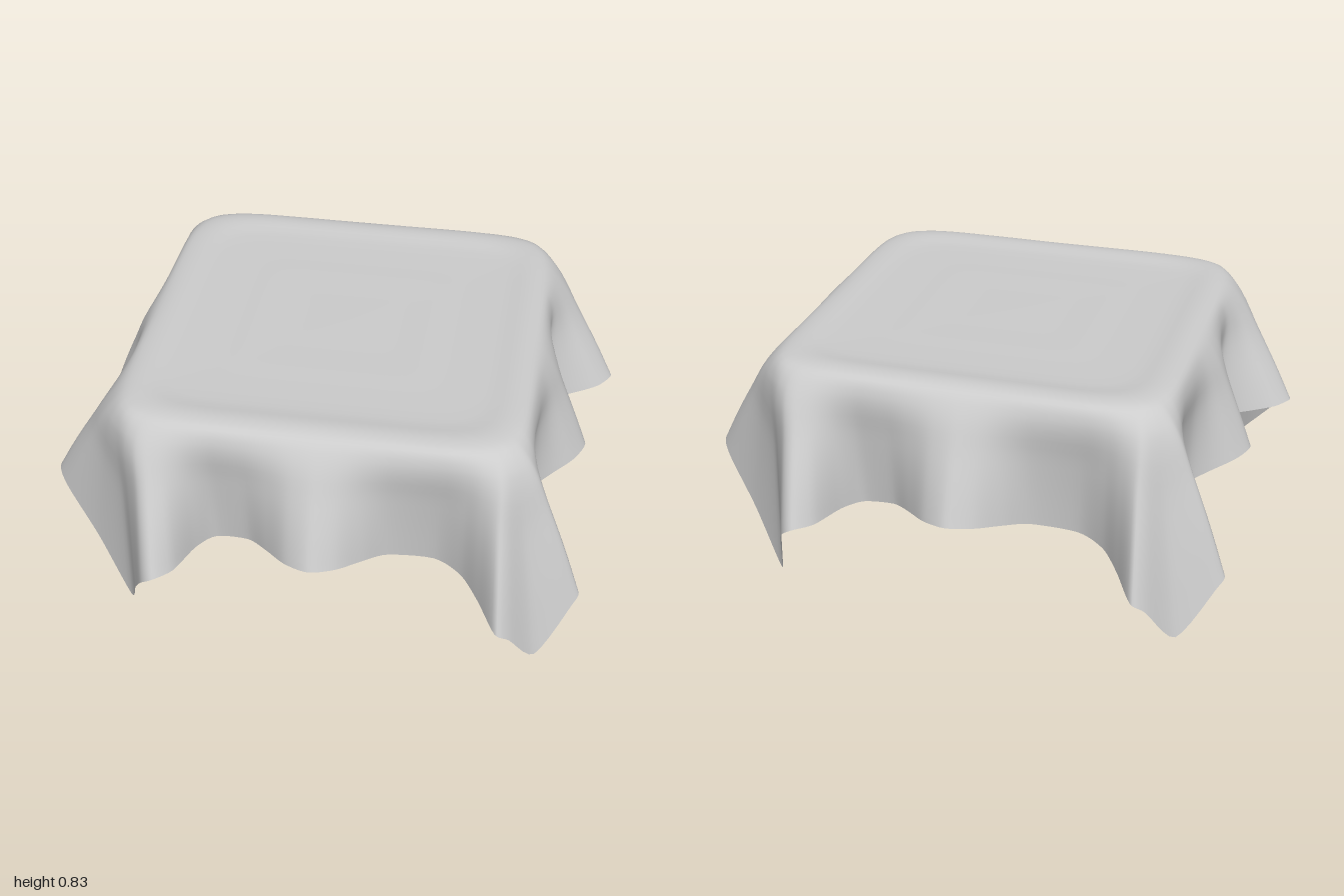
import * as THREE from 'three';

// Hem points are [x, z, height, angle on the tabletop rim].

// Half of a fold in the middle of a side: [outward, along, height, angle], from the ridge
const FOLD = [[0.92, 0, 0.40, 0], [0.88, 0.09, 0.39, 6], [0.80, 0.17, 0.37, 12], [0.73, 0.25, 0.35, 19]];

// Half of the closed corner flap at +x +z, up to its tip
const CLOSED_FLAP = [
  [0.69, 0.43, 0.32, 31], [0.74, 0.53, 0.30, 35.5], [0.83, 0.60, 0.27, 38.5],
  [0.94, 0.67, 0.23, 41.5], [0.92, 0.72, 0.19, 43], [0.81, 0.83, 0.05, 45],
];

// Open corner flap at -x +z, with a wing on either side of the tip
const OPEN_FLAP = [
  [-0.35, 0.71, 0.33, 115], [-0.41, 0.78, 0.33, 120], [-0.46, 0.91, 0.33, 125], [-0.52, 0.97, 0.33, 128],
  [-0.57, 0.95, 0.29, 130], [-0.63, 0.83, 0.15, 132.5], [-0.69, 0.71, 0, 135], [-0.83, 0.60, 0.17, 138],
  [-0.96, 0.52, 0.33, 141], [-1.00, 0.45, 0.37, 145], [-0.95, 0.37, 0.37, 149], [-0.84, 0.31, 0.36, 154],
  [-0.74, 0.27, 0.35, 158],
];

const quarterTurn = ([x, z, y, a]) => [-z, x, y, a + 90];

// Whole middle fold on the +x side, its ridge moved along the side
function sideFold(shift) {
  const point = (sign) => ([out, along, y, a]) => [out, shift + sign * along, y, shift * 45 + sign * a];
  return [...FOLD.slice(1).reverse().map(point(-1)), ...FOLD.map(point(1))];
}

// Half of the loop, then the same turned by 180 degrees
function hemLoop() {
  const mirrored = CLOSED_FLAP.slice(0, -1).reverse().map(([x, z, y, a]) => [z, x, y, 90 - a]);
  const half = [
    ...sideFold(0.05), ...CLOSED_FLAP, ...mirrored,
    ...sideFold(-0.02).map(quarterTurn), ...OPEN_FLAP,
  ];
  return [...half, ...half.map(quarterTurn).map(quarterTurn)];
}

// Point on a rounded square of half width 1
function rimPoint(degrees) {
  const a = THREE.MathUtils.degToRad(degrees), n = 8;
  const c = Math.cos(a), s = Math.sin(a);
  const r = Math.pow(Math.pow(Math.abs(c), n) + Math.pow(Math.abs(s), n), -1 / n);
  return new THREE.Vector3(c * r, 0, s * r);
}

function clothGeometry() {
  const loop = hemLoop();
  const closedCurve = (points) => new THREE.CatmullRomCurve3(points, true, 'catmullrom', 0.4);
  const hemCurve = closedCurve(loop.map(([x, z, y]) => new THREE.Vector3(x, y, z)));
  const rimCurve = closedCurve(loop.map((p) => rimPoint(p[3])));

  const columns = loop.length * 5, rows = 32;
  const positions = [], index = [];
  for (let i = 0; i < columns; i++) {
    const hem = hemCurve.getPoint(i / columns);
    const rim = rimCurve.getPoint(i / columns);
    const onTop = (scale, y) => rim.clone().multiplyScalar(scale).setY(y);
    // Shoulder to hem: the folds open out on the way down
    const shoulder = onTop(0.75, 0.76);
    const hang = (spread, drop) => {
      const p = shoulder.clone().lerp(hem, spread);
      p.y = THREE.MathUtils.lerp(shoulder.y, hem.y, drop);
      return p;
    };
    const profile = new THREE.CatmullRomCurve3([
      new THREE.Vector3(0, 0.82, 0), onTop(0.3, 0.82), onTop(0.56, 0.822), onTop(0.66, 0.832),
      onTop(0.72, 0.815), hang(0.13, 0.03), hang(0.43, 0.34), hang(0.73, 0.67), hem,
    ]);
    for (let j = 0; j <= rows; j++) {
      const p = profile.getPoint(j / rows);
      positions.push(p.x, Math.max(0, p.y), p.z);
    }
  }
  const stride = rows + 1;
  for (let i = 0; i < columns; i++) {
    const a = i * stride, b = ((i + 1) % columns) * stride;
    for (let j = 0; j < rows; j++) {
      if (j > 0) index.push(a + j, b + j, a + j + 1);
      index.push(b + j, b + j + 1, a + j + 1);
    }
  }
  const geometry = new THREE.BufferGeometry();
  geometry.setAttribute('position', new THREE.Float32BufferAttribute(positions, 3));
  geometry.setIndex(index);
  geometry.computeVertexNormals();
  return geometry;
}

export function createModel() {
  const group = new THREE.Group();
  group.name = 'drapedTablecloth';
  const material = new THREE.MeshStandardMaterial({ color: 0xcccccc, side: THREE.DoubleSide });
  const cloth = new THREE.Mesh(clothGeometry(), material);
  cloth.name = 'cloth';
  group.add(cloth);
  return group;
}
